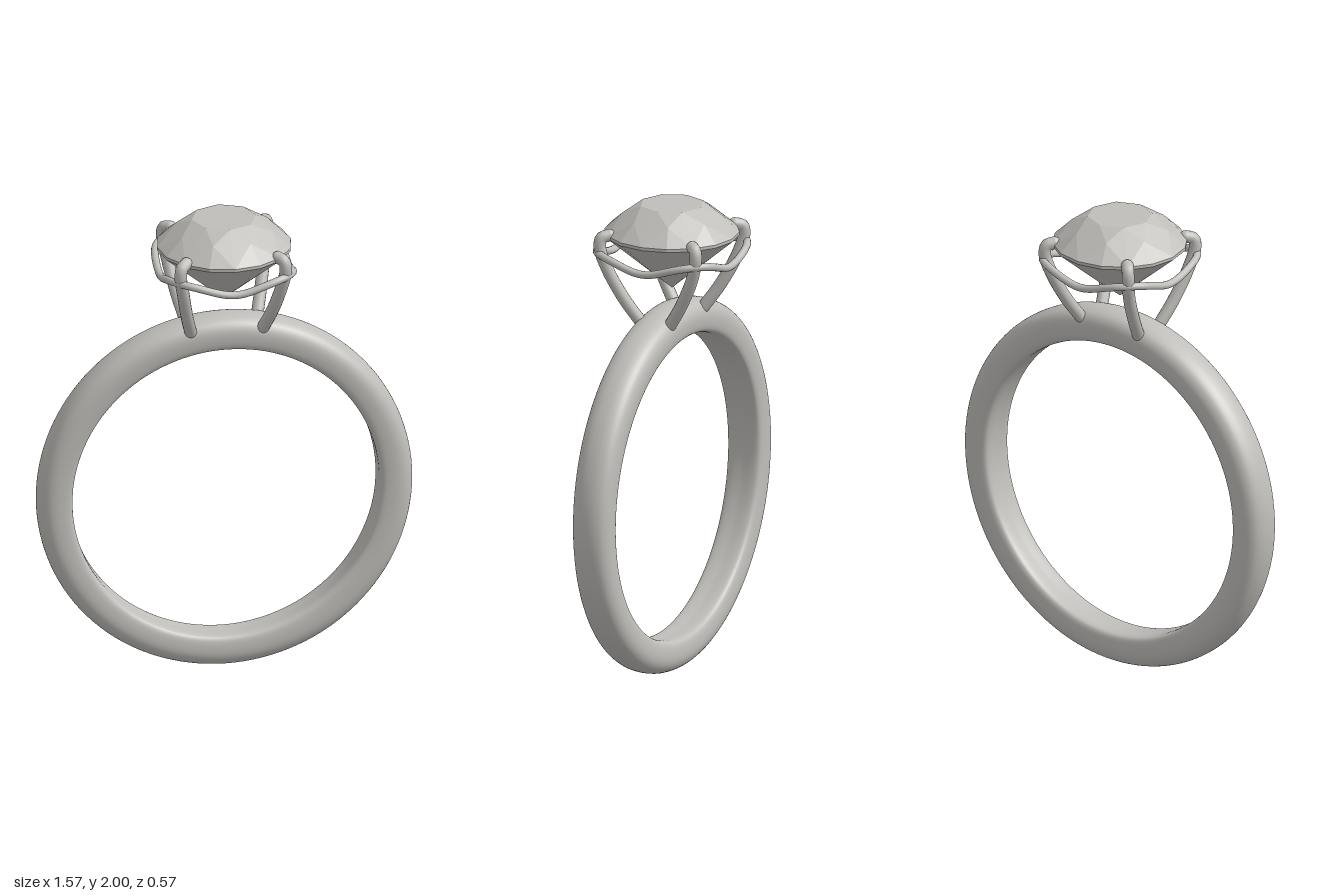
import * as THREE from 'three';

const V = (x, y, z) => new THREE.Vector3(x, y, z);

// Domed band: a rounded profile turned about z, slightly narrower at the bottom
function makeBand() {
  const half = [[0.645, 0.06], [0.655, 0.078], [0.69, 0.087], [0.735, 0.085], [0.766, 0.067], [0.782, 0.035]];
  const keys = [V(0.645, 0, 0), ...half.map(([r, w]) => V(r, -w, 0)), V(0.786, 0, 0),
    ...half.slice().reverse().map(([r, w]) => V(r, w, 0))];
  const profile = new THREE.CatmullRomCurve3(keys, true).getPoints(48).map(p => new THREE.Vector2(p.x, p.y));
  const geo = new THREE.LatheGeometry(profile, 128);
  geo.rotateX(Math.PI / 2);
  const p = geo.attributes.position;
  for (let i = 0; i < p.count; i++) p.setZ(i, p.getZ(i) * (0.95 + 0.08 * p.getY(i)));
  geo.translate(0, 0.786, 0);
  return geo;
}

// Brilliant-cut stone: rings of points joined by flat facets
function makeStone() {
  const ring = (n, r, y, turn = 0) => Array.from({ length: n }, (_, i) => {
    const a = (i + turn) / n * Math.PI * 2;
    return V(r * Math.cos(a), y, r * Math.sin(a));
  });
  const table = ring(8, 0.135, 2.0);
  const star = ring(8, 0.205, 1.956, 0.5);
  const girdleTop = ring(16, 0.28, 1.885);
  const girdleLow = ring(16, 0.28, 1.872);
  const lower = ring(8, 0.075, 1.697, 0.5);
  const top = V(0, 2.0, 0), culet = V(0, 1.637, 0);
  const out = [];
  const center = V(0, 1.85, 0);
  // Adds a triangle, wound so that it faces away from the stone's centre
  const tri = (a, b, c) => {
    const n = b.clone().sub(a).cross(c.clone().sub(a));
    const pts = n.dot(a.clone().add(b).add(c).divideScalar(3).sub(center)) > 0 ? [a, b, c] : [a, c, b];
    pts.forEach(q => out.push(q.x, q.y, q.z));
  };
  for (let i = 0; i < 8; i++) {
    const j = (i + 1) % 8, g0 = 2 * i, g1 = 2 * i + 1, g2 = (2 * i + 2) % 16;
    tri(top, table[i], table[j]);
    tri(table[i], table[j], star[i]);
    tri(table[i], star[i], girdleTop[g0]);
    tri(table[j], star[i], girdleTop[g2]);
    tri(star[i], girdleTop[g0], girdleTop[g1]);
    tri(star[i], girdleTop[g1], girdleTop[g2]);
    for (const [a, b] of [[g0, g1], [g1, g2]]) {
      tri(girdleTop[a], girdleTop[b], girdleLow[a]);
      tri(girdleTop[b], girdleLow[a], girdleLow[b]);
      tri(girdleLow[a], girdleLow[b], lower[i]);
    }
    tri(girdleLow[g0], lower[i], culet);
    tri(girdleLow[g2], lower[i], culet);
  }
  const geo = new THREE.BufferGeometry();
  geo.setAttribute('position', new THREE.Float32BufferAttribute(out, 3));
  geo.computeVertexNormals();
  return geo;
}

export function createModel() {
  const model = new THREE.Group();
  model.name = 'ring';
  const metal = new THREE.MeshStandardMaterial({ color: 0xc0beba });
  metal.name = 'pale grey';
  const add = (geo, name, parent = model) => {
    const mesh = new THREE.Mesh(geo, metal);
    mesh.name = name;
    parent.add(mesh);
    return mesh;
  };

  add(makeBand(), 'band');
  add(makeStone(), 'stone');

  // Four claws rising from the band and hooking over the stone's edge
  for (const sx of [1, -1]) for (const sz of [1, -1]) {
    const claw = new THREE.Group();
    claw.name = (sz > 0 ? 'front' : 'back') + (sx > 0 ? 'Left' : 'Right') + 'Claw';
    const path = [[0.152, 1.525, 0.07], [0.178, 1.62, 0.132], [0.205, 1.75, 0.197],
      [0.22, 1.84, 0.222], [0.214, 1.878, 0.217], [0.192, 1.888, 0.193]].map(([x, y, z]) => V(sx * x, y, sz * z));
    add(new THREE.TubeGeometry(new THREE.CatmullRomCurve3(path), 40, 0.026, 14), 'clawWire', claw);
    for (const end of [path[0], path[path.length - 1]]) {
      add(new THREE.SphereGeometry(0.026, 16, 12), 'clawTip', claw).position.copy(end);
    }
    model.add(claw);
  }

  // Cushion-shaped gallery wire that dips between the claws
  const loop = Array.from({ length: 48 }, (_, i) => {
    const a = i / 48 * Math.PI * 2, c = Math.cos(a), s = Math.sin(a);
    const r = 0.27 / Math.pow(c ** 4 + s ** 4, 0.25);
    return V(r * c, 1.79 - 0.025 * Math.cos(4 * a), r * s);
  });
  add(new THREE.TubeGeometry(new THREE.CatmullRomCurve3(loop, true), 128, 0.016, 12, true), 'galleryWire');

  return model;
}
